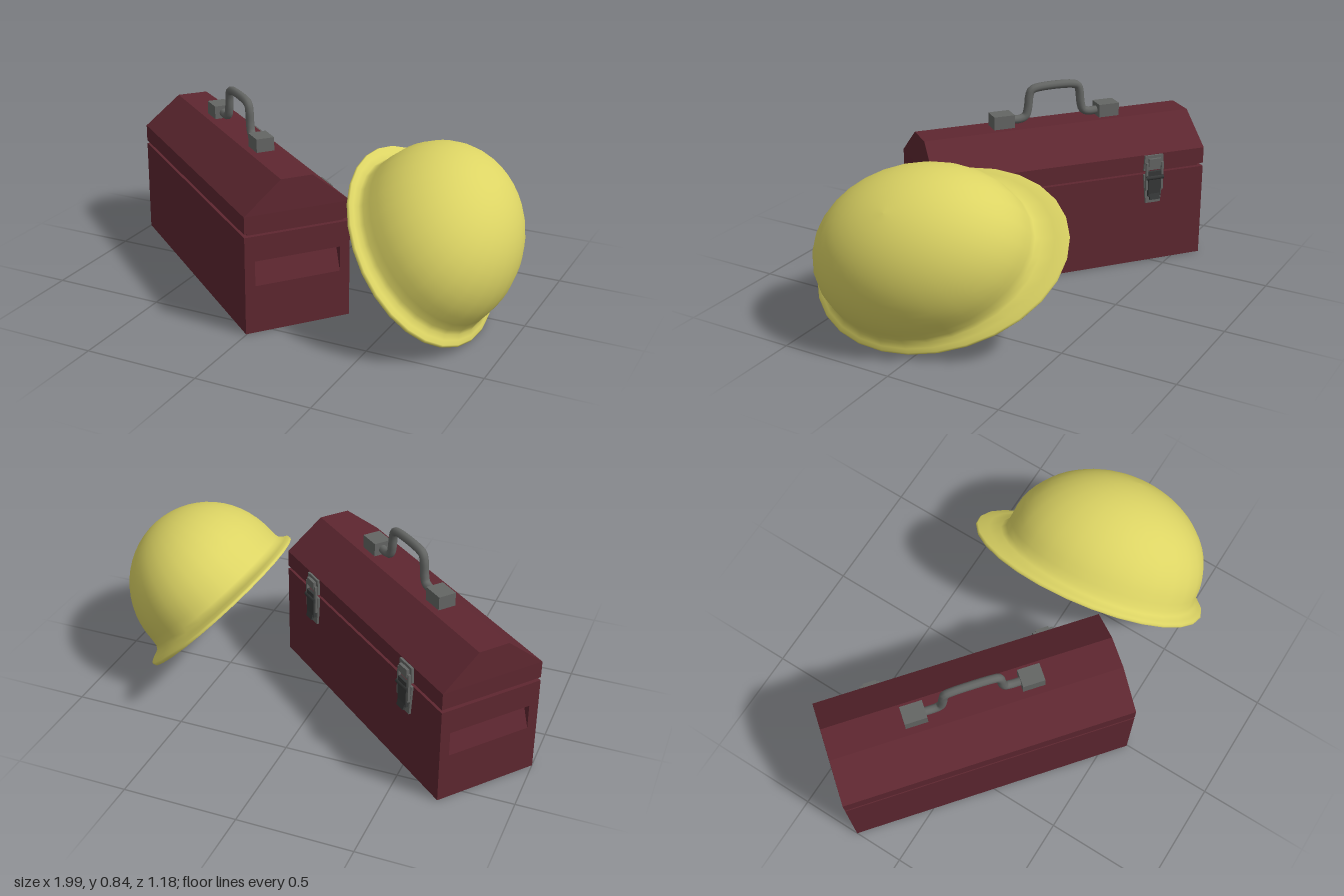
import * as THREE from 'three';

const mat = (color, extra = {}) => new THREE.MeshStandardMaterial({ color, ...extra });
const red = mat(0x5e2730);
const steel = mat(0x646664);
const darkSteel = mat(0x363838);
const yellow = mat(0xdcd464, { side: THREE.DoubleSide });

const L = 1.29, D = 0.47; // toolbox length and depth

function add(parent, name, geometry, material, x = 0, y = 0, z = 0) {
  const mesh = new THREE.Mesh(geometry, material);
  mesh.name = name;
  mesh.position.set(x, y, z);
  parent.add(mesh);
  return mesh;
}

// Box whose top is scaled in x and z
function taperedBox(w, h, d, sx, sz) {
  const g = new THREE.BoxGeometry(w, h, d).toNonIndexed();
  const p = g.attributes.position;
  for (let i = 0; i < p.count; i++) {
    if (p.getY(i) > 0) p.setXYZ(i, p.getX(i) * sx, p.getY(i), p.getZ(i) * sz);
  }
  g.computeVertexNormals();
  return g;
}

function rectPath(path, x0, y0, x1, y1) {
  path.moveTo(x0, y0);
  path.lineTo(x1, y0);
  path.lineTo(x1, y1);
  path.lineTo(x0, y1);
  path.closePath();
  return path;
}

// End wall with a wedge-shaped grip recess, facing local +z
function endWall(parent) {
  const t = 0.04, y0 = 0.21, y1 = 0.32, hw = 0.19;
  const shape = rectPath(new THREE.Shape(), -D / 2, 0, D / 2, 0.43);
  shape.holes.push(rectPath(new THREE.Path(), -hw, y0, hw, y1));
  add(parent, 'endWall', new THREE.ExtrudeGeometry(shape, { depth: t, bevelEnabled: false }), red);
  const slope = add(parent, 'gripRecess',
    new THREE.PlaneGeometry(hw * 2, Math.hypot(y1 - y0, t)), red, 0, (y0 + y1) / 2, t / 2);
  slope.rotation.x = -Math.atan2(t, y1 - y0);
}

function latch() {
  const g = new THREE.Group();
  g.name = 'latch';
  add(g, 'lidPlate', taperedBox(0.1, 0.07, 0.01, 0.9, 1), steel, 0, 0.483, -0.005);
  add(g, 'catchHook', new THREE.BoxGeometry(0.06, 0.035, 0.018), steel, 0, 0.487, -0.014);
  const lower = add(g, 'basePlate', taperedBox(0.1, 0.14, 0.01, 0.72, 1), steel, 0, 0.36, -0.005);
  lower.rotation.z = Math.PI;
  for (const s of [-1, 1]) {
    add(g, 'latchArm', new THREE.BoxGeometry(0.01, 0.13, 0.012), steel, s * 0.038, 0.42, -0.015);
  }
  add(g, 'latchLever', new THREE.BoxGeometry(0.062, 0.12, 0.014), darkSteel, 0, 0.385, -0.017);
  const pin = add(g, 'latchPin', new THREE.CylinderGeometry(0.011, 0.011, 0.085, 10), darkSteel, 0, 0.415, -0.019);
  pin.rotation.z = Math.PI / 2;
  const tab = add(g, 'leverTab', new THREE.BoxGeometry(0.05, 0.03, 0.008), darkSteel, 0, 0.325, -0.024);
  tab.rotation.x = 0.3;
  return g;
}

function toolbox() {
  const box = new THREE.Group();
  box.name = 'toolbox';

  // Base with recessed ends, and the narrow core showing in the lid gap
  add(box, 'baseBody', new THREE.BoxGeometry(L - 0.08, 0.43, D), red, 0, 0.215, 0);
  add(box, 'innerRim', new THREE.BoxGeometry(L - 0.04, 0.06, D - 0.04), red, 0, 0.435, 0);
  for (const s of [-1, 1]) {
    const end = new THREE.Group();
    end.name = 'boxEnd';
    end.rotation.y = s * Math.PI / 2;
    end.position.x = s * (L / 2 - 0.04);
    endWall(end);
    box.add(end);
  }

  // Lid with long sloping sides and nearly upright ends
  add(box, 'lidBand', new THREE.BoxGeometry(L, 0.075, D), red, 0, 0.4825, 0);
  add(box, 'lidTop', taperedBox(L, 0.135, D, 0.637 / (L / 2), 0.07 / (D / 2)), red, 0, 0.5875, 0);

  // Carrying handle
  const half = [[0.23, 0.683], [0.165, 0.681], [0.14, 0.692], [0.128, 0.728], [0.122, 0.782], [0.112, 0.808], [0.085, 0.818]];
  const pts = [...half.map(([x, y]) => [-x, y]), ...half.slice().reverse()]
    .map(([x, y]) => new THREE.Vector3(x, y, 0));
  const curve = new THREE.CatmullRomCurve3(pts, false, 'centripetal');
  add(box, 'handle', new THREE.TubeGeometry(curve, 56, 0.019, 10), steel);
  for (const s of [-1, 1]) {
    add(box, 'handleMount', new THREE.BoxGeometry(0.097, 0.075, 0.08), steel, s * 0.254, 0.677, 0);
    const l = latch();
    l.position.set(s * 0.39, 0, -D / 2);
    box.add(l);
  }
  box.rotation.y = -0.687;
  box.position.set(-0.353, 0, -0.001);
  return box;
}

// Surface through elliptical rings [centreX, radiusX, radiusZ, height]
function ringSurface(rings, n = 28) {
  const pos = [], idx = [];
  rings.forEach(([cx, a, b, h], i) => {
    for (let j = 0; j < n; j++) {
      const t = (j / n) * Math.PI * 2;
      pos.push(cx + a * Math.cos(t), h, b * Math.sin(t));
      if (i === rings.length - 1) continue;
      const p = i * n + j, q = i * n + (j + 1) % n;
      idx.push(p, q, p + n, q, q + n, p + n);
    }
  });
  const g = new THREE.BufferGeometry();
  g.setAttribute('position', new THREE.Float32BufferAttribute(pos, 3));
  g.setIndex(idx);
  g.computeVertexNormals();
  return g;
}

function domeRings(a, b, base, height) {
  const rings = [];
  for (let i = 0; i <= 14; i++) {
    const f = (1 - i / 14) * Math.PI / 2;
    const r = Math.max(Math.cos(f), 0.001);
    rings.push([-0.035, a * r, b * r, base + height * Math.sin(f)]);
  }
  return rings;
}

function hardHat() {
  const hat = new THREE.Group();
  hat.name = 'hardHat';
  // Outer dome flaring into the brim, longer at the visor (+x)
  add(hat, 'hatShell', ringSurface([
    ...domeRings(0.464, 0.36, 0.085, 0.378),
    [-0.035, 0.468, 0.363, 0.05],
    [-0.03, 0.482, 0.371, 0.03],
    [-0.015, 0.52, 0.39, 0.018],
    [0, 0.557, 0.406, 0.01],
    [0, 0.562, 0.41, 0.002],
    [0, 0.558, 0.407, -0.006],
  ]), yellow);
  // Underside of the brim and hollow inside
  add(hat, 'hatLining', ringSurface([
    ...domeRings(0.447, 0.343, 0.07, 0.373),
    [-0.035, 0.453, 0.348, 0.03],
    [-0.027, 0.475, 0.365, 0.006],
    [0, 0.558, 0.407, -0.006],
  ]), yellow);

  // Lean the hat on the end of the toolbox
  const x = new THREE.Vector3(-0.269, 0.269, -0.925).normalize();
  const y = new THREE.Vector3(1, 1, 0).normalize();
  const z = new THREE.Vector3().crossVectors(x, y);
  hat.quaternion.setFromRotationMatrix(new THREE.Matrix4().makeBasis(x, y, z));
  hat.position.set(0.547, 0.312, 0.043);
  return hat;
}

export function createModel() {
  const model = new THREE.Group();
  model.name = 'toolboxAndHardHat';
  model.add(toolbox(), hardHat());
  return model;
}
